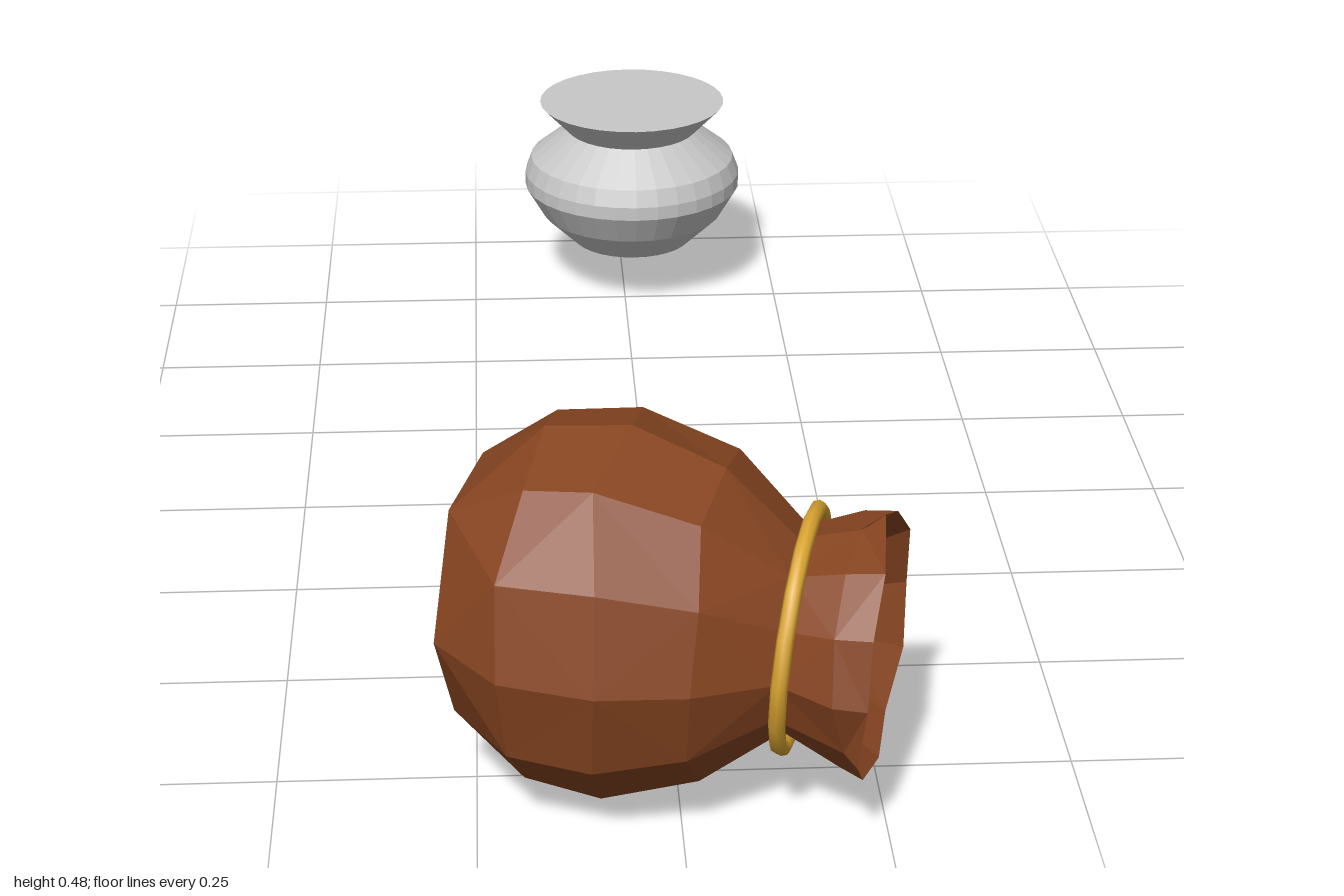
import * as THREE from 'three';

const brown = new THREE.MeshStandardMaterial({ color: 0x874521, flatShading: true });
brown.name = 'leather brown';
const gold = new THREE.MeshStandardMaterial({ color: 0xdca632 });
gold.name = 'cord gold';
const grey = new THREE.MeshStandardMaterial({ color: 0xc8c8c8, flatShading: true });
grey.name = 'pot grey';

function seeded(seed) {
  return () => {
    seed = (seed * 16807) % 2147483647;
    return seed / 2147483647 - 0.5;
  };
}

// Skin of 12-sided rings along y; each ring is [y, radius, sag, zStretch, radius jitter, y jitter]
function sackGeometry(rings) {
  const n = 12, rand = seeded(41), pos = [], index = [];
  rings.forEach(([y, r, sag, stretch, jr, jy], i) => {
    for (let j = 0; j < n; j++) {
      const a = (j / n) * Math.PI * 2;
      const hex = i === 0 && j % 2 ? Math.cos(Math.PI / 6) : 1; // six-sided base
      const rr = r * hex * (1 + rand() * jr);
      pos.push(sag + rr * Math.sin(a), y + rand() * jy, rr * Math.cos(a) * stretch);
    }
  });
  for (let i = 0; i < rings.length - 1; i++) {
    for (let j = 0; j < n; j++) {
      const k = (j + 1) % n;
      const a = i * n + j, b = i * n + k, c = a + n, d = b + n;
      if ((i + j) % 2) index.push(a, b, c, b, d, c);
      else index.push(a, b, d, a, d, c);
    }
  }
  // flat base
  const centre = pos.length / 3;
  pos.push(0, rings[0][0], 0);
  for (let j = 0; j < n; j++) index.push(centre, (j + 1) % n, j);
  const indexed = new THREE.BufferGeometry();
  indexed.setAttribute('position', new THREE.Float32BufferAttribute(pos, 3));
  indexed.setIndex(index);
  const g = indexed.toNonIndexed();
  g.computeVertexNormals();
  return g;
}

function createSack() {
  const sack = new THREE.Group();
  sack.name = 'sack';

  // body, neck, flared mouth and closed throat in one skin
  const skin = new THREE.Mesh(sackGeometry([
    [-0.202, 0.16, -0.006, 1, 0, 0],
    [-0.11, 0.229, 0, 1, 0.02, 0.02],
    [0.0, 0.24, 0, 1.01, 0.015, 0.03],
    [0.12, 0.201, 0.005, 1.02, 0.03, 0.02],
    [0.21, 0.125, 0.014, 1.08, 0.05, 0.01],
    [0.285, 0.157, 0.02, 1.04, 0.08, 0.015],
    [0.318, 0.168, 0.021, 1.0, 0.1, 0.02],
    [0.25, 0.114, 0.015, 1.05, 0.06, 0.01],
    [0.2, 0, 0.012, 1, 0, 0],
  ]), brown);
  skin.name = 'sackSkin';
  sack.add(skin);

  // cord round the neck
  const cord = new THREE.Mesh(new THREE.TorusGeometry(0.148, 0.0105, 8, 16), gold);
  cord.name = 'neckCord';
  cord.rotation.set(Math.PI / 2, -0.07, 0);
  cord.position.set(0.011, 0.215, 0);
  sack.add(cord);

  // lay the sack on its side, mouth towards +x and a little to the front
  const axis = new THREE.Vector3(0.965, 0, 0.26).normalize();
  const front = new THREE.Vector3(-0.26, 0, 0.965).normalize();
  const down = new THREE.Vector3(0, -1, 0);
  sack.quaternion.setFromRotationMatrix(new THREE.Matrix4().makeBasis(down, axis, front));
  sack.position.set(-0.06, 0.239, 0.744);
  return sack;
}

function createPot() {
  const profile = [
    [0, 0.08], [0.098, 0.08], [0.15, 0.13], [0.178, 0.178], [0.178, 0.2],
    [0.168, 0.227], [0.107, 0.275], [0.152, 0.322], [0, 0.322],
  ].map(([r, y]) => new THREE.Vector2(r, y));
  const pot = new THREE.Mesh(new THREE.LatheGeometry(profile, 32), grey);
  pot.name = 'pot';
  pot.position.set(0.015, 0, -0.822);
  return pot;
}

export function createModel() {
  const model = new THREE.Group();
  model.name = 'sackAndPot';
  model.add(createSack(), createPot());
  return model;
}
